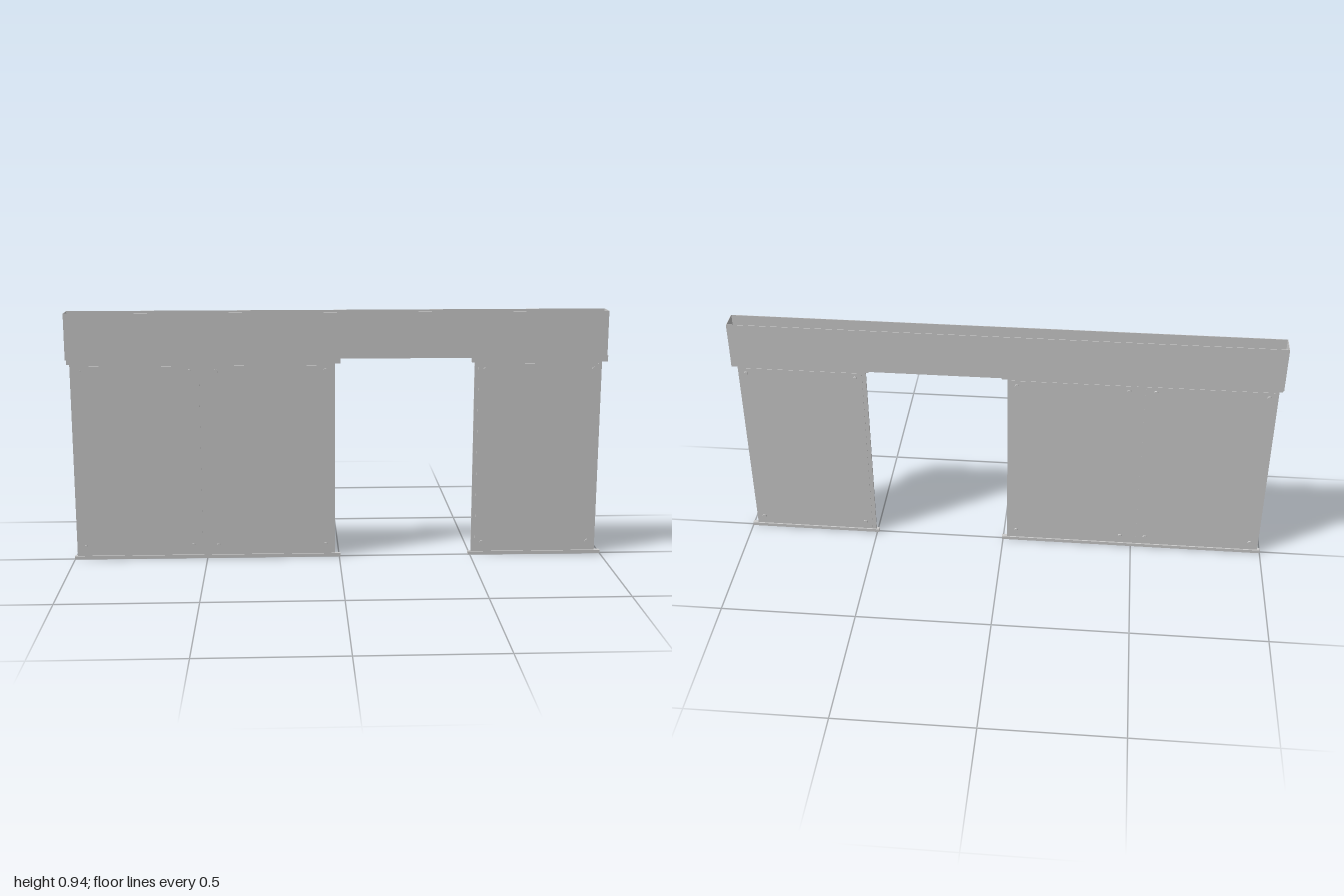
import * as THREE from 'three';

export function createModel() {
  const model = new THREE.Group();
  const material = new THREE.MeshStandardMaterial({ color: 0xcccccc, flatShading: true });

  // Box given by its extents, centred on z = 0 unless offset
  function box(name, x0, x1, y0, y1, depth, parent = model, z = 0) {
    const mesh = new THREE.Mesh(new THREE.BoxGeometry(x1 - x0, y1 - y0, depth), material);
    mesh.position.set((x0 + x1) / 2, (y0 + y1) / 2, z);
    mesh.name = name;
    parent.add(mesh);
  }

  // Open-topped header trough with thin walls
  const header = new THREE.Group();
  header.name = 'header';
  model.add(header);
  const wall = 0.002, half = 0.036, bottom = 0.767, top = 0.938, left = -1, right = 0.99;
  for (const s of [-1, 1]) box('headerSide', left, right, bottom, top, wall, header, s * (half - wall / 2));
  box('headerEnd', left, left + wall, bottom, top, 2 * half - 2 * wall, header);
  box('headerEnd', right - wall, right, bottom, top, 2 * half - 2 * wall, header);
  box('headerFloor', left + wall, right - wall, bottom, bottom + wall, 2 * half - 2 * wall, header);

  // Two bays: a double one and a single one, each with rails and a thin core
  const bays = [
    { rail: [-1, 0.004], core: [-0.99, -0.016], sheets: [[-0.975, -0.517], [-0.489, -0.03]] },
    { rail: [0.492, 1], core: [0.503, 0.979], sheets: [[0.518, 0.968]] },
  ];
  for (const { rail, core, sheets } of bays) {
    box('topRail', ...rail, 0.745, 0.768, 0.016);
    box('bottomRail', ...rail, 0, 0.013, 0.016);
    box('panelCore', ...core, 0.01, 0.75, 0.006);
    for (const sheet of sheets) box('panelSheet', ...sheet, 0.02, 0.738, 0.009);
  }

  // Through-bolts with a head on both faces at each panel corner
  const headShape = new THREE.CylinderGeometry(0.008, 0.008, 0.005, 20).rotateX(Math.PI / 2);
  const shankShape = new THREE.CylinderGeometry(0.005, 0.005, 0.02, 16).rotateX(Math.PI / 2);
  for (const x of [-0.957, -0.553, -0.457, -0.051, 0.543, 0.949]) {
    for (const y of [0.05, 0.718]) {
      const bolt = new THREE.Group();
      bolt.name = 'bolt';
      bolt.position.set(x, y, 0);
      bolt.add(new THREE.Mesh(shankShape, material));
      for (const s of [-1, 1]) {
        const head = new THREE.Mesh(headShape, material);
        head.position.z = s * 0.0105;
        bolt.add(head);
      }
      model.add(bolt);
    }
  }
  return model;
}
